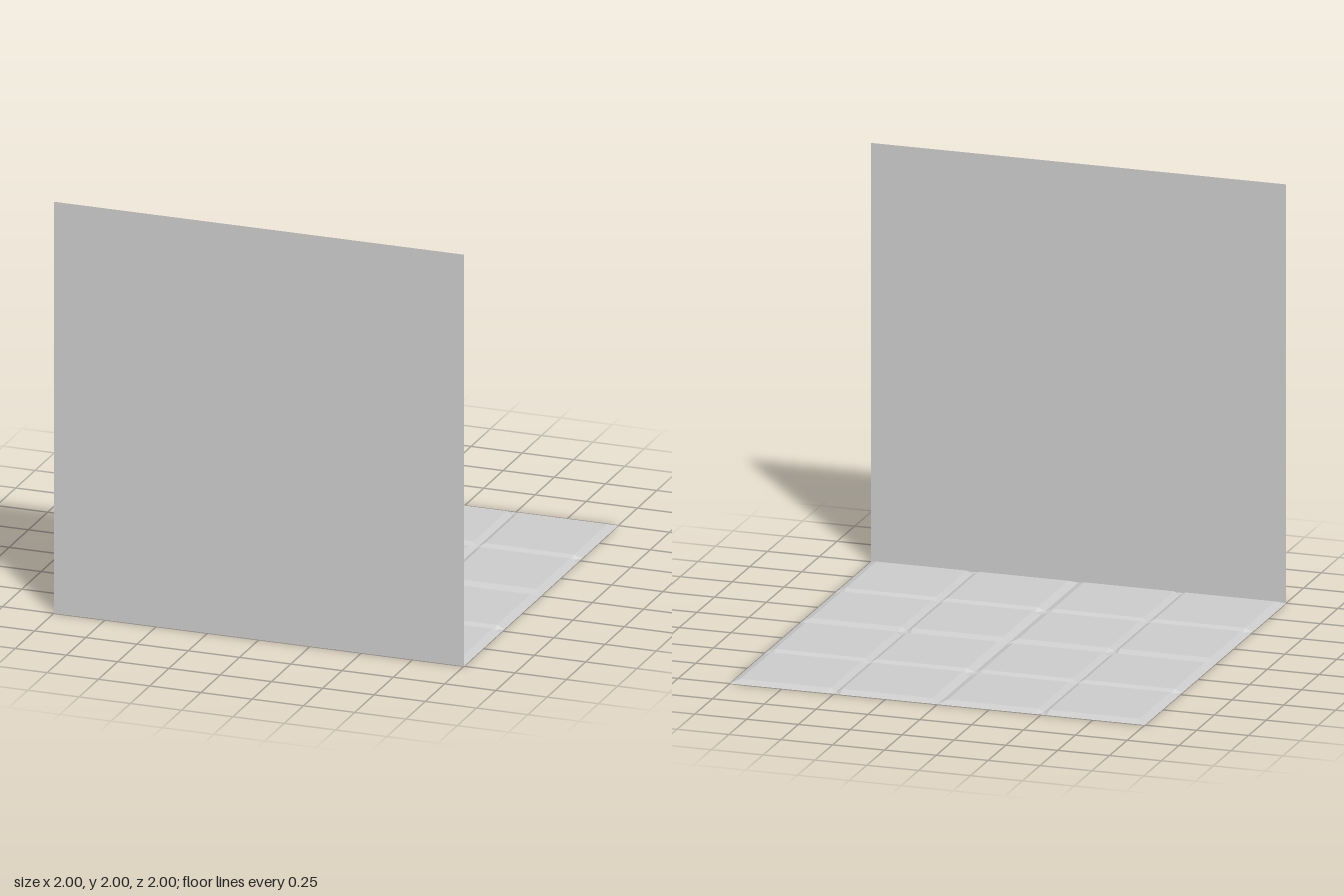
import * as THREE from 'three';

const TOP = 0.016; // height of the tile faces

// One square floor panel: bevelled rim, and a cross groove dividing it into four tiles
function panelGeometry() {
  const steps = [-0.5, -0.462, -0.028, 0, 0.028, 0.462, 0.5];
  const n = steps.length;
  const raised = i => i !== 0 && i !== 3 && i !== n - 1;
  const positions = [], index = [];
  for (let j = 0; j < n; j++) {
    for (let i = 0; i < n; i++) {
      positions.push(steps[i], raised(i) && raised(j) ? TOP : 0, steps[j]);
    }
  }
  for (let j = 0; j < n - 1; j++) {
    for (let i = 0; i < n - 1; i++) {
      const a = j * n + i, b = a + n, c = b + 1, d = a + 1;
      // run the diagonals toward the panel centre so the corners are mitred
      if ((i < 3) === (j < 3)) index.push(a, b, c, a, c, d);
      else index.push(a, b, d, b, c, d);
    }
  }
  const geometry = new THREE.BufferGeometry();
  geometry.setAttribute('position', new THREE.Float32BufferAttribute(positions, 3));
  geometry.setIndex(index);
  const flat = geometry.toNonIndexed();
  flat.computeVertexNormals();
  return flat;
}

export function createModel() {
  const model = new THREE.Group();
  const material = new THREE.MeshStandardMaterial({
    color: 0xcccccc, flatShading: true, side: THREE.DoubleSide,
  });

  // Floor of four panels
  const floor = new THREE.Group();
  floor.name = 'tiledFloor';
  const panel = panelGeometry();
  for (const x of [-0.5, 0.5]) {
    for (const z of [-0.5, 0.5]) {
      const mesh = new THREE.Mesh(panel, material);
      mesh.name = 'floorPanel';
      mesh.position.set(x, 0, z);
      floor.add(mesh);
    }
  }
  model.add(floor);

  // Thin upright wall along the front edge
  const wall = new THREE.Mesh(new THREE.PlaneGeometry(2, 2), material);
  wall.name = 'wall';
  wall.position.set(0, 1, 1);
  model.add(wall);

  return model;
}
